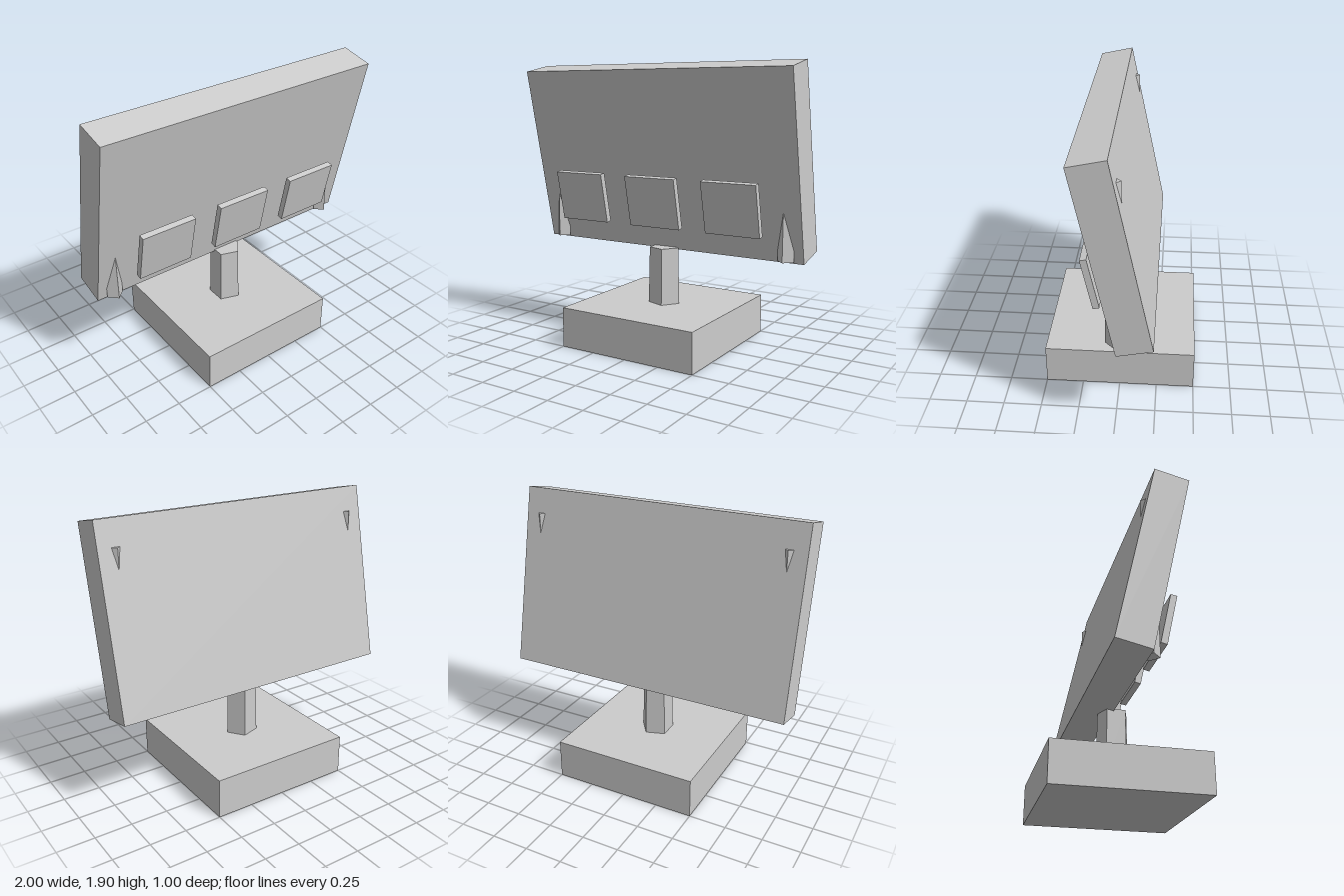
import * as THREE from 'three';

const TILT = THREE.MathUtils.degToRad(12);

export function createModel() {
  const model = new THREE.Group();
  model.name = 'signBoard';
  const grey = new THREE.MeshStandardMaterial({ color: 0xcccccc });
  grey.name = 'plain grey';

  function add(name, geometry, x, y, z, tilt = 0) {
    const mesh = new THREE.Mesh(geometry, grey);
    mesh.name = name;
    mesh.position.set(x, y, z);
    mesh.rotation.x = tilt;
    model.add(mesh);
    return mesh;
  }

  // Tapered post with flat sides, standing between two heights
  function post(name, rTop, rBottom, y0, y1, sides, x, turn) {
    const g = new THREE.CylinderGeometry(rTop, rBottom, y1 - y0, sides).toNonIndexed();
    g.computeVertexNormals();
    g.rotateY(turn);
    return add(name, g, x, (y0 + y1) / 2, 0);
  }

  // Square base block
  add('base', new THREE.BoxGeometry(1, 0.27, 1), 0, 0.135, 0);

  // Five-sided stem with one corner towards +x
  post('stem', 0.105, 0.113, 0.26, 0.657, 5, 0, Math.PI / 2);

  // Large board leaning forward
  add('board', new THREE.BoxGeometry(2, 1.232, 0.228), 0, 1.27, 0, TILT);

  // Upright four-sided rods running through the board near each end
  for (const side of [-1, 1]) {
    post(side > 0 ? 'leftRod' : 'rightRod', 0.046, 0.056, 0.655, 1.73, 4, side * 0.884, 0);
  }

  // Three small plates held in front of the board
  ['rightPlate', 'middlePlate', 'leftPlate'].forEach((name, i) => {
    add(name, new THREE.BoxGeometry(0.382, 0.347, 0.042), (i - 1) * 0.577, 0.983, 0.155, TILT);
  });

  return model;
}
